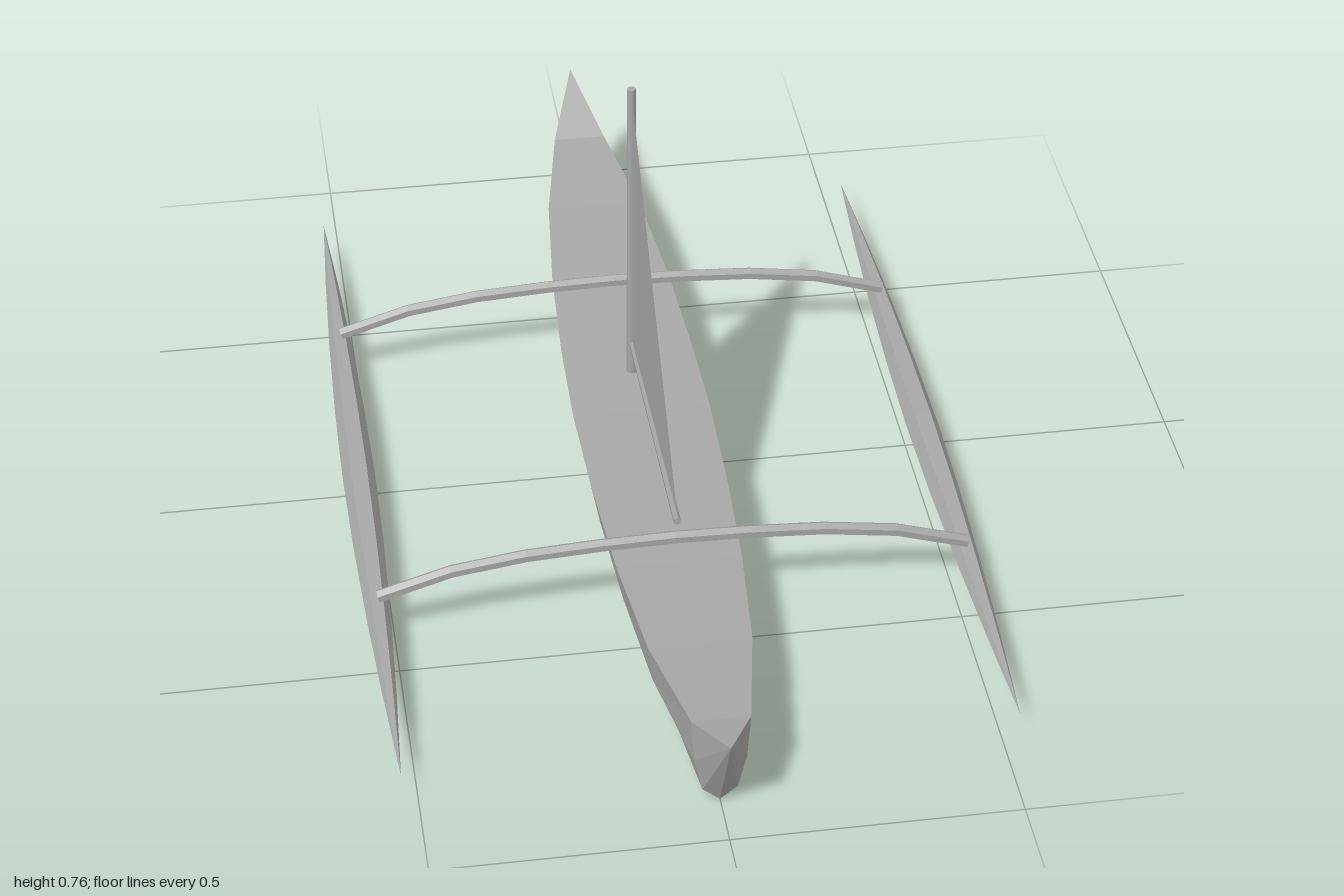
import * as THREE from 'three';

const grey = new THREE.MeshStandardMaterial({ color: 0xa8a8a8 });
grey.name = 'plain grey';
const greySail = grey;
greySail.side = THREE.DoubleSide;

// Facets between closed rings of points; a ring may collapse to a single point
function loft(rings) {
  const out = [];
  const tri = (a, b, c) => {
    const n = b.clone().sub(a).cross(c.clone().sub(a));
    if (n.length() > 1e-9) out.push(...a.toArray(), ...b.toArray(), ...c.toArray());
  };
  for (let i = 0; i < rings.length - 1; i++) {
    const p = rings[i], q = rings[i + 1];
    for (let j = 0; j < p.length; j++) {
      const k = (j + 1) % p.length;
      tri(p[j], p[k], q[j]);
      tri(p[k], q[k], q[j]);
    }
  }
  const g = new THREE.BufferGeometry();
  g.setAttribute('position', new THREE.Float32BufferAttribute(out, 3));
  g.computeVertexNormals();
  return g;
}

const flat = (g) => {
  const f = g.toNonIndexed();
  f.computeVertexNormals();
  return f;
};

function hullGeometry() {
  // Station: z, half width, deck height
  const stations = [
    [0.9, 0.05, 0.178], [0.68, 0.09, 0.156], [0.45, 0.111, 0.146], [0.23, 0.122, 0.139],
    [0, 0.127, 0.136], [-0.2, 0.123, 0.138], [-0.42, 0.112, 0.146], [-0.65, 0.09, 0.157],
    [-0.865, 0.05, 0.176],
  ];
  // Section as fractions of half width and height, left rail to right rail
  const section = [[1, 1], [0.9, 0.52], [0.6, 0.14], [0, 0], [-0.6, 0.14], [-0.9, 0.52], [-1, 1]];
  const tip = (y, z) => section.map(() => new THREE.Vector3(0, y, z));
  const rings = stations.map(([z, w, h]) =>
    section.map(([sx, sy]) => new THREE.Vector3(sx * w, sy * h, z)));
  return loft([tip(0.2, 0.997), ...rings, tip(0.255, -1)]);
}

function beamGeometry() {
  // Arched six-sided spar with closed ends
  const half = [[0.13, 0.164], [0.265, 0.156], [0.395, 0.137], [0.525, 0.096]];
  const pts = [...half.map(([x, y]) => [-x, y]).reverse(), [0, 0.167], ...half];
  const ring = (i, r) => {
    const a = pts[Math.max(i - 1, 0)], b = pts[Math.min(i + 1, pts.length - 1)];
    const slope = Math.atan2(b[1] - a[1], b[0] - a[0]);
    return Array.from({ length: 6 }, (_, k) => {
      const t = (k * Math.PI) / 3, u = r * Math.cos(t);
      return new THREE.Vector3(
        pts[i][0] - u * Math.sin(slope), pts[i][1] + u * Math.cos(slope), r * Math.sin(t));
    });
  };
  const last = pts.length - 1;
  return loft([ring(0, 0), ...pts.map((_, i) => ring(i, 0.012)), ring(last, 0)]);
}

export function createModel() {
  const model = new THREE.Group();
  model.name = 'outriggerCanoe';
  const add = (name, geometry, x = 0, y = 0, z = 0) => {
    const m = new THREE.Mesh(geometry, grey);
    m.name = name;
    m.position.set(x, y, z);
    model.add(m);
    return m;
  };

  add('hull', hullGeometry());

  // Spindle floats on both sides
  const profile = [-1, -0.75, -0.5, -0.25, 0, 0.25, 0.5, 0.75, 1].map((t) =>
    new THREE.Vector2(0.03 * (1 - Math.abs(t) ** 1.8), t * 0.815));
  const float = flat(new THREE.LatheGeometry(profile, 6, Math.PI / 2));
  float.rotateX(Math.PI / 2);
  add('leftFloat', float, 0.527, 0.058, 0.015);
  add('rightFloat', float, -0.527, 0.058, 0.015);

  // Cross beams
  const beam = beamGeometry();
  add('frontBeam', beam, 0, 0, 0.408);
  add('backBeam', beam, 0, 0, -0.377);

  // Mast and boom
  add('mast', new THREE.CylinderGeometry(0.008, 0.01, 0.63, 8), 0, 0.445, -0.126);
  const boom = add('boom', new THREE.CylinderGeometry(0.007, 0.006, 0.55, 6), 0, 0.209, 0.15);
  boom.rotation.x = Math.PI / 2 - 0.022;

  // Triangular sail in the centre plane
  const outline = new THREE.Shape([
    new THREE.Vector2(0.115, 0.207), new THREE.Vector2(0.112, 0.74), new THREE.Vector2(-0.412, 0.24),
  ]);
  const sail = add('sail', new THREE.ShapeGeometry(outline));
  sail.rotation.y = Math.PI / 2;

  return model;
}
